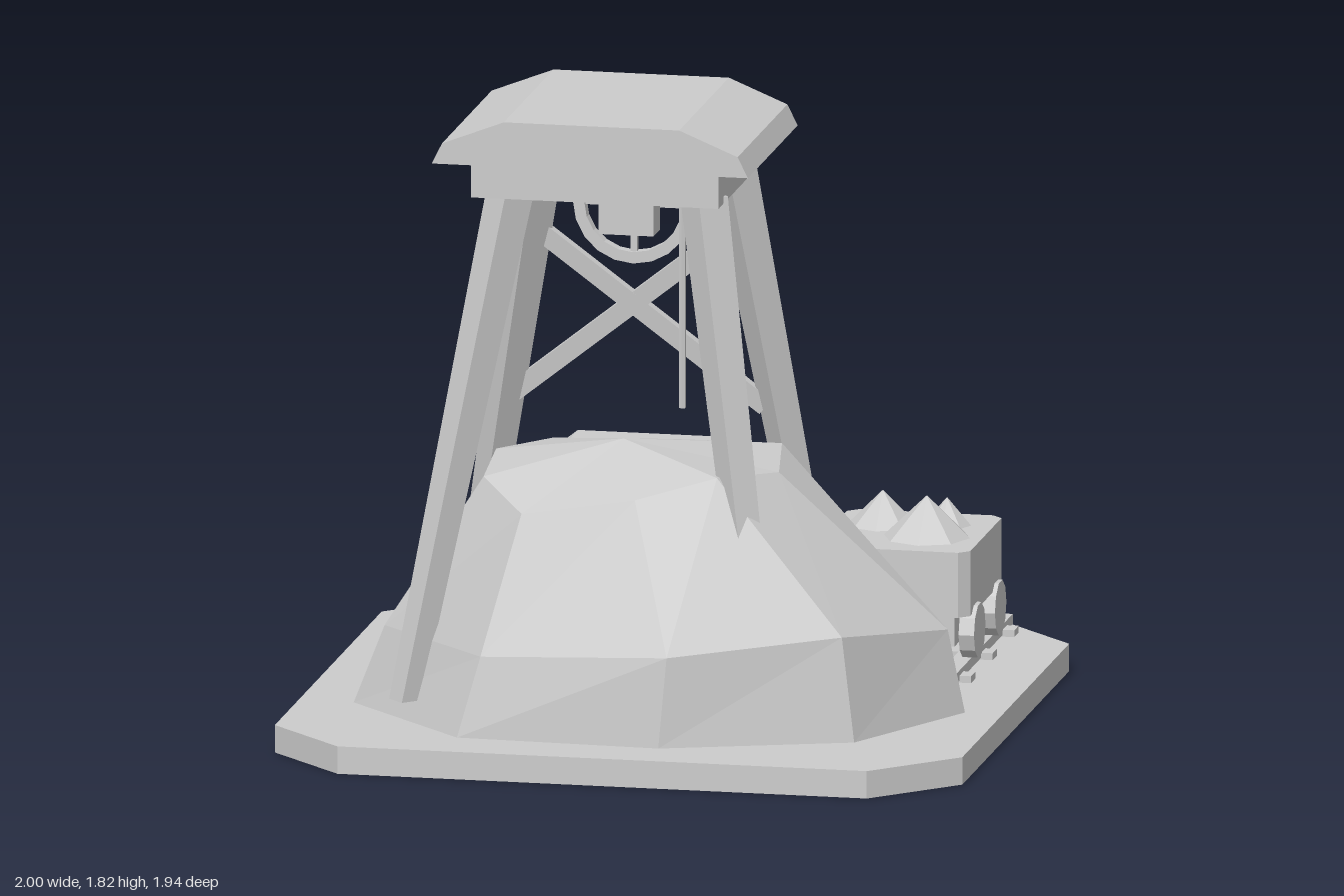
import * as THREE from 'three';

const stone = new THREE.MeshStandardMaterial({ color: 0xcccccc, flatShading: true, side: THREE.DoubleSide });
stone.name = 'plain grey';

function add(parent, name, geometry, x = 0, y = 0, z = 0) {
  const mesh = new THREE.Mesh(geometry, stone);
  mesh.name = name;
  mesh.position.set(x, y, z);
  parent.add(mesh);
  return mesh;
}

// Box given by its minimum and maximum corners
function block(parent, name, x0, x1, y0, y1, z0, z1) {
  return add(parent, name, new THREE.BoxGeometry(x1 - x0, y1 - y0, z1 - z0),
    (x0 + x1) / 2, (y0 + y1) / 2, (z0 + z1) / 2);
}

// Front outline extruded from z0 to z1
function prism(parent, name, outline, z0, z1) {
  const shape = new THREE.Shape(outline.map(p => new THREE.Vector2(...p)));
  const g = new THREE.ExtrudeGeometry(shape, { depth: z1 - z0, bevelEnabled: false });
  return add(parent, name, g, 0, 0, z0);
}

// Skin through rings of points, closed by an apex, open underneath
function skin(rings, apex) {
  const pos = [];
  const n = rings[0].length;
  for (let i = 0; i < n; i++) {
    const j = (i + 1) % n;
    for (let r = 0; r < rings.length - 1; r++) {
      const [a, b, c, d] = [rings[r][i], rings[r][j], rings[r + 1][j], rings[r + 1][i]];
      pos.push(...a, ...b, ...c, ...a, ...c, ...d);
    }
    const top = rings[rings.length - 1];
    pos.push(...top[i], ...top[j], ...apex);
  }
  const g = new THREE.BufferGeometry();
  g.setAttribute('position', new THREE.Float32BufferAttribute(pos, 3));
  g.computeVertexNormals();
  return g;
}

// Square bar between two points
function bar(parent, name, a, b, w, d) {
  const from = new THREE.Vector3(...a), to = new THREE.Vector3(...b);
  const mesh = add(parent, name, new THREE.BoxGeometry(w, from.distanceTo(to), d));
  mesh.position.copy(from).add(to).multiplyScalar(0.5);
  mesh.quaternion.setFromUnitVectors(new THREE.Vector3(0, 1, 0), to.sub(from).normalize());
  return mesh;
}

function track(parent, name, railXs, sleeperX, sleeperZs, z0, z1) {
  const g = new THREE.Group();
  g.name = name;
  parent.add(g);
  for (const z of sleeperZs) block(g, 'sleeper', ...sleeperX, 0.075, 0.1, z - 0.03, z + 0.03);
  for (const x of railXs) block(g, 'rail', x - 0.026, x + 0.026, 0.085, 0.115, z0, z1);
}

export function createModel() {
  const model = new THREE.Group();
  model.name = 'mineHeadframe';

  // Base slab with cut corners
  const plan = [[-1, 0.74], [-0.77, 0.97], [0.77, 0.97], [1, 0.74], [1, -0.74], [0.77, -0.97], [-0.77, -0.97], [-1, -0.74]];
  add(model, 'base', skin([0, 0.08].map(y => plan.map(([x, z]) => [x, y, z])), [0, 0.08, 0]));

  // Faceted hill
  const foot = [[-0.84, 0.41], [-0.46, 0.79], [0.13, 0.81], [0.66, 0.62], [0.89, 0.18], [0.6, -0.24], [0.22, -0.43], [-0.45, -0.4], [-0.78, -0.05]];
  const waist = [[-0.75, 0.31, 0.41], [-0.4, 0.31, 0.75], [0.15, 0.34, 0.79], [0.62, 0.38, 0.6], [0.84, 0.32, 0.18],
    [0.56, 0.4, -0.2], [0.2, 0.4, -0.3], [-0.45, 0.36, -0.3], [-0.7, 0.33, -0.05]];
  const shoulder = [[-0.46, 0.76, 0.42], [-0.31, 0.7, 0.61], [0.02, 0.755, 0.61], [0.24, 0.81, 0.52], [0.37, 0.78, 0.28],
    [0.32, 0.8, 0], [0, 0.79, -0.03], [-0.35, 0.78, -0.02], [-0.48, 0.78, 0.15]];
  add(model, 'hill', skin([foot.map(([x, z]) => [x, 0, z]), foot.map(([x, z]) => [x, 0.08, z]), waist, shoulder], [-0.08, 0.86, 0.29]));

  // Headframe
  const tower = new THREE.Group();
  tower.name = 'headframe';
  model.add(tower);
  const legs = [[-0.39, 0.37, -0.65, 0.6], [0.17, 0.37, 0.39, 0.6], [-0.39, -0.03, -0.65, -0.28], [0.17, -0.03, 0.39, -0.28]];
  for (const [tx, tz, bx, bz] of legs) {
    const ring = (x, y, z, r) => [[x - r, y, z], [x, y, z + r], [x + r, y, z], [x, y, z - r]];
    const g = skin([[[bx, 0.14, bz], [bx, 0.14, bz], [bx, 0.14, bz], [bx, 0.14, bz]],
      ring(bx, 0.14, bz, 0.047), ring(tx, 1.6, tz, 0.07)], [tx, 1.6, tz]);
    add(tower, 'leg', g);
  }
  block(tower, 'platform', -0.49, 0.23, 1.58, 1.69, -0.11, 0.45);
  prism(tower, 'roof', [[-0.59, 1.69], [0.33, 1.69], [0.3, 1.75], [0.13, 1.82], [-0.38, 1.82], [-0.56, 1.75]], -0.17, 0.52);
  bar(tower, 'brace', [-0.49, 0.88, -0.16], [0.16, 1.4, -0.07], 0.055, 0.03);
  bar(tower, 'brace', [0.24, 0.87, -0.16], [-0.42, 1.39, -0.07], 0.055, 0.03);

  // Winding wheel, its bracket and the hanging rope
  const wheel = new THREE.Group();
  wheel.name = 'windingWheel';
  wheel.position.set(-0.13, 1.46, -0.1);
  tower.add(wheel);
  const rim = new THREE.Shape().absarc(0, 0, 0.175, 0, Math.PI * 2);
  rim.holes.push(new THREE.Path().absarc(0, 0, 0.142, 0, Math.PI * 2, true));
  add(wheel, 'rim', new THREE.ExtrudeGeometry(rim, { depth: 0.035, bevelEnabled: false, curveSegments: 10 }), 0, 0, -0.015);
  add(wheel, 'spoke', new THREE.BoxGeometry(0.3, 0.02, 0.02));
  add(wheel, 'spoke', new THREE.BoxGeometry(0.02, 0.3, 0.02));
  add(wheel, 'hub', new THREE.CylinderGeometry(0.07, 0.07, 0.08, 10).rotateX(Math.PI / 2), 0, 0, -0.035);
  block(tower, 'bracket', -0.21, -0.05, 1.39, 1.58, -0.07, 0.02);
  add(tower, 'rope', new THREE.CylinderGeometry(0.01, 0.01, 0.72, 6), 0.022, 1.24, -0.04);

  // Mine tunnel and its portal
  const tunnel = new THREE.Group();
  tunnel.name = 'tunnel';
  model.add(tunnel);
  prism(tunnel, 'tunnelBody', [[-0.59, 0.08], [0.24, 0.08], [0.24, 0.52], [0.05, 0.67], [-0.4, 0.67], [-0.59, 0.52]], -0.6, -0.1);
  prism(tunnel, 'lintel', [[-0.55, 0.49], [0.2, 0.49], [0.2, 0.54], [0.13, 0.6], [-0.48, 0.6], [-0.55, 0.54]], -0.69, -0.55);
  for (const s of [-1, 1]) {
    const x = -0.175 + s * 0.3;
    block(tunnel, 'portalPost', x - 0.045, x + 0.045, 0.08, 0.5, -0.67, -0.58);
  }
  block(tunnel, 'blankPlate', -0.24, -0.11, 0.52, 0.575, -0.71, -0.69);

  // Rail tracks
  track(model, 'mineTrack', [-0.355, 0.02], [-0.43, 0.09], [-0.91, -0.75], -0.95, -0.55);
  track(model, 'sideTrack', [0.375, 0.77], [0.31, 0.83], [-0.82, -0.52, -0.22], -0.93, -0.11);

  // Ore cart with cut corners
  const cart = new THREE.Group();
  cart.name = 'oreCart';
  cart.position.set(0.58, 0, -0.515);
  model.add(cart);
  const w = 0.225, d = 0.245, c = 0.03;
  const tub = prism(cart, 'tub', [[-w + c, -d], [w - c, -d], [w, -d + c], [w, d - c], [w - c, d], [-w + c, d], [-w, d - c], [-w, -d + c]], 0, 0.19);
  tub.rotation.x = -Math.PI / 2;
  tub.position.y = 0.25;
  block(cart, 'chassis', -0.18, 0.18, 0.16, 0.25, -0.22, 0.22);
  for (const x of [-0.215, 0.215]) for (const z of [-0.145, 0.145])
    add(cart, 'wheel', new THREE.CylinderGeometry(0.08, 0.08, 0.045, 10).rotateZ(Math.PI / 2), x, 0.195, z);
  for (const [x, z, r, h] of [[-0.09, -0.075, 0.1, 0.1], [0.09, -0.105, 0.07, 0.08], [0.065, 0.055, 0.125, 0.12]])
    add(cart, 'ore', new THREE.ConeGeometry(r, h, 8), x, 0.44 + h / 2, z);

  // Small lantern beside the portal
  const profile = [[0, 0.08], [0.06, 0.08], [0.045, 0.12], [0.045, 0.18], [0.07, 0.185], [0.07, 0.205], [0.045, 0.245], [0, 0.26]];
  add(model, 'lantern', new THREE.LatheGeometry(profile.map(p => new THREE.Vector2(...p)), 8), -0.63, 0, -0.515);

  return model;
}
